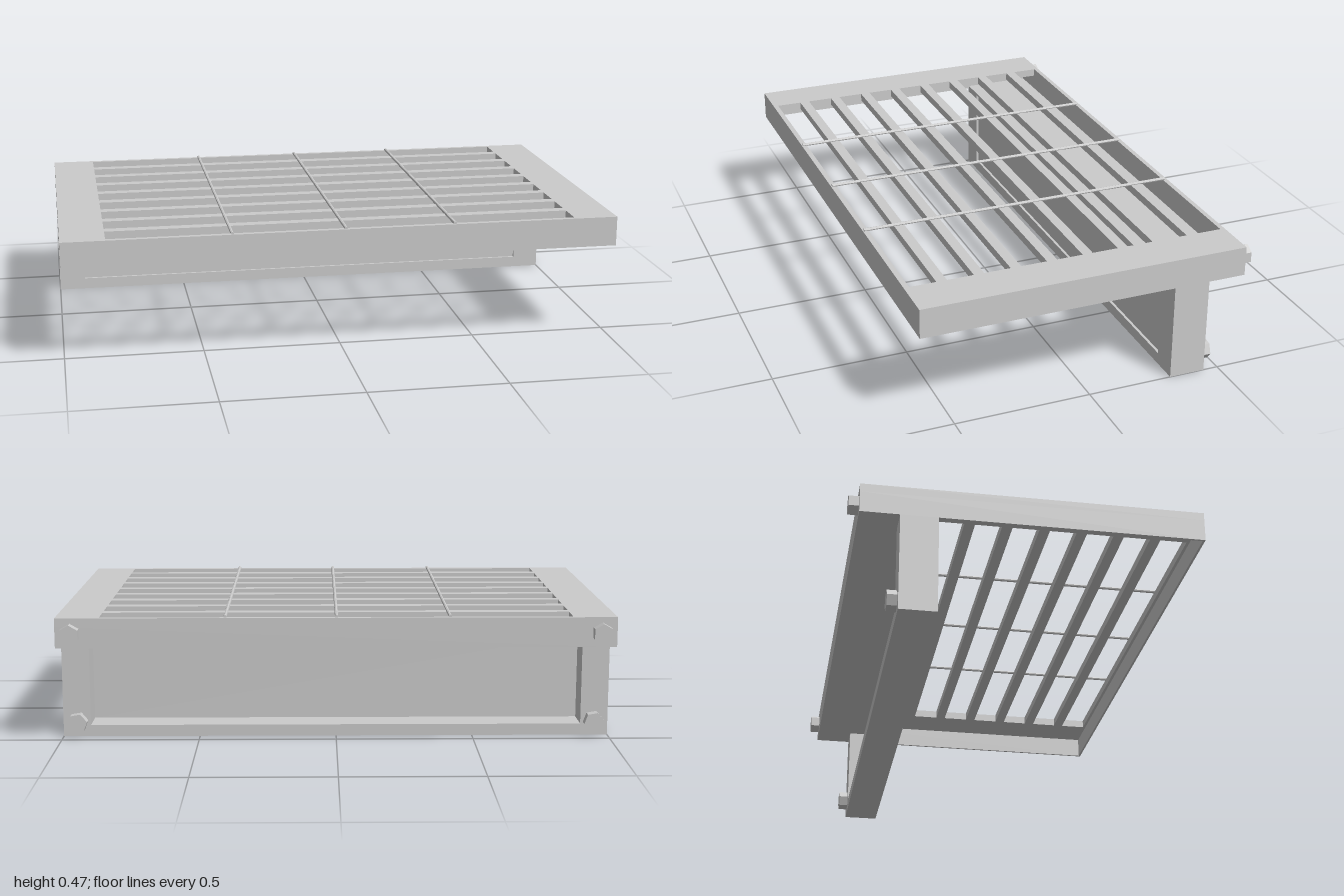
import * as THREE from 'three';

const mat = new THREE.MeshStandardMaterial({ color: 0xcccccc, flatShading: true });

// Box given by its min and max corners
function box(name, [x0, y0, z0], [x1, y1, z1]) {
  const m = new THREE.Mesh(new THREE.BoxGeometry(x1 - x0, y1 - y0, z1 - z0), mat);
  m.position.set((x0 + x1) / 2, (y0 + y1) / 2, (z0 + z1) / 2);
  m.name = name;
  return m;
}

// Counter-clockwise rectangle in the shape plane (shape y = -z)
function rect(target, x0, z0, x1, z1) {
  target.moveTo(x0, -z1);
  target.lineTo(x1, -z1);
  target.lineTo(x1, -z0);
  target.lineTo(x0, -z0);
  target.closePath();
  return target;
}

// Horizontal plate with rectangular holes, from y0 to y1
function plate(name, outer, holes, y0, y1) {
  const shape = rect(new THREE.Shape(), ...outer);
  holes.forEach(h => shape.holes.push(rect(new THREE.Path(), ...h)));
  const geo = new THREE.ExtrudeGeometry(shape, { depth: y1 - y0, bevelEnabled: false });
  const m = new THREE.Mesh(geo.rotateX(-Math.PI / 2).translate(0, y0, 0), mat);
  m.name = name;
  return m;
}

export function createModel() {
  const model = new THREE.Group();
  model.name = 'slattedShelf';
  const back = -0.583, front = 0.617, top = 0.465, under = 0.357, deck = 0.435;

  // Slotted top deck
  const slots = [];
  for (let i = 0; i < 9; i++) {
    const z = -0.518 + i * 0.1335;
    slots.push([-0.843, z - 0.048, 0.843, z + 0.048]);
  }
  model.add(plate('slattedDeck', [-1, back, 1, front], slots, deck, top));

  // Thin skirt around the deck, open below
  const t = 0.008;
  model.add(plate('skirt', [-1, back, 1, front],
    [[-1 + t, back + t, 1 - t, front - t]], under, deck));

  // Closed floor over the support
  model.add(box('rearFloor', [-1 + t, under, back + t], [1 - t, under + 0.01, -0.313]));

  // Support frame: two posts, bottom rail and thin panel
  const support = new THREE.Group();
  support.name = 'supportFrame';
  for (const s of [-1, 1]) {
    support.add(box('post', [s * 0.95 - 0.05, 0, -0.445], [s * 0.95 + 0.05, under, -0.313]));
  }
  support.add(box('bottomRail', [-0.9, 0, -0.445], [0.9, 0.042, -0.313]));
  support.add(box('panel', [-0.9, 0.042, -0.333], [0.9, under, -0.323]));
  model.add(support);

  // Thin rods lying across the slats
  for (const x of [-0.404, 0, 0.396]) {
    const rod = new THREE.Mesh(new THREE.CylinderGeometry(0.006, 0.006, 1.186, 8), mat);
    rod.rotation.x = Math.PI / 2;
    rod.position.set(x, 0.468, 0.02);
    rod.name = 'crossRod';
    model.add(rod);
  }

  // Hexagonal bolt heads on the back
  for (const s of [-1, 1]) {
    for (const [y, z, turn] of [[0.409, back, 0], [0.055, -0.445, 0.35]]) {
      const bolt = new THREE.Mesh(
        new THREE.CylinderGeometry(0.037, 0.037, 0.035, 6, 1, false, turn), mat);
      bolt.rotation.x = Math.PI / 2;
      bolt.position.set(s * 0.946, y, z - 0.0175);
      bolt.name = 'bolt';
      model.add(bolt);
    }
  }
  return model;
}
